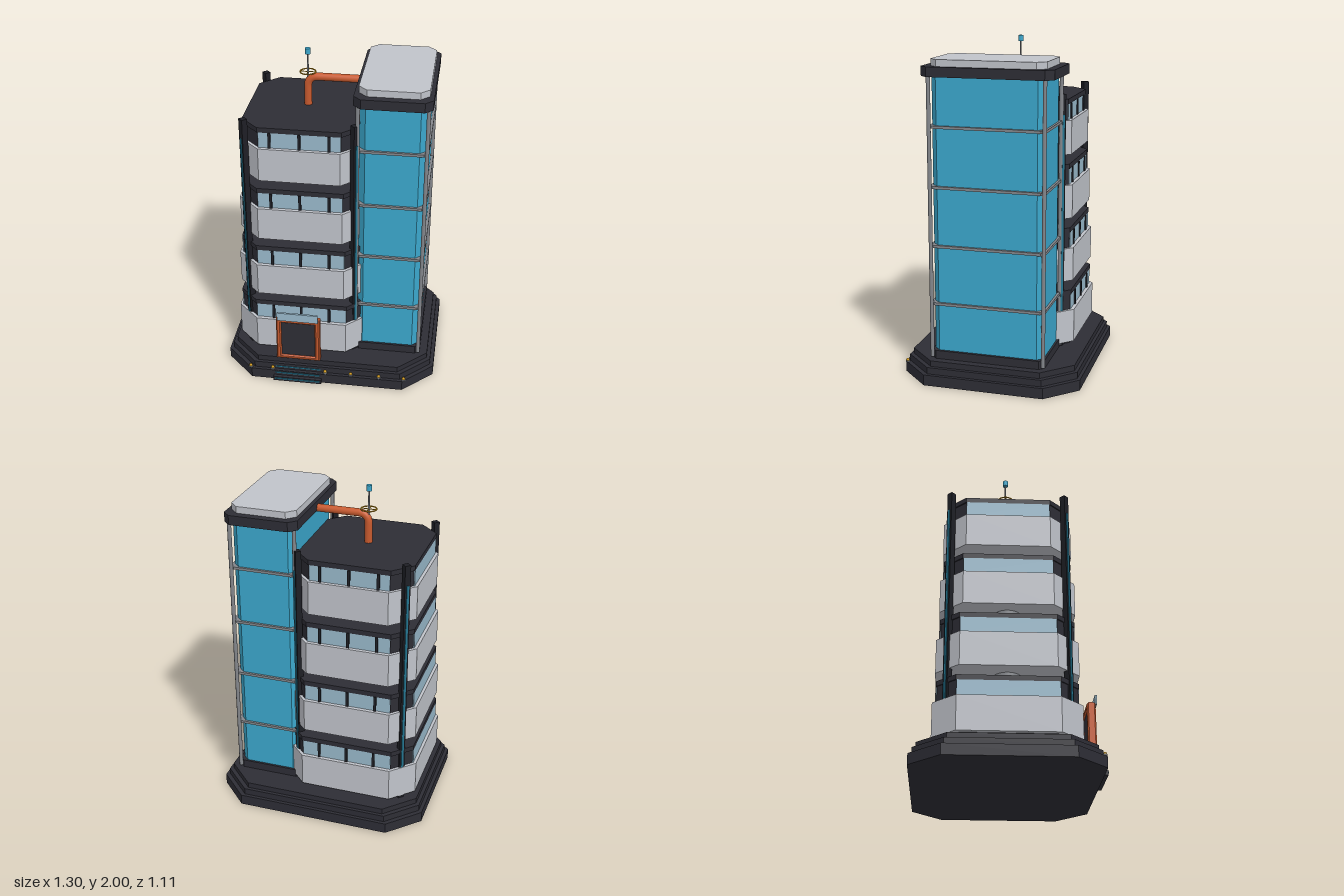
import * as THREE from 'three';

const mat = (name, color, extra = {}) => {
  const m = new THREE.MeshStandardMaterial({ color, ...extra });
  m.name = name;
  return m;
};

export function createModel() {
  const dark = mat('charcoal', 0x2d2d35);
  const black = mat('black trim', 0x1e1f25);
  const pale = mat('pale concrete', 0xc0c3ca);
  const glass = mat('tower glass', 0x3ba7cc);
  const window_ = mat('window glass', 0x98b8ca);
  const orange = mat('orange', 0xc85a2e);
  const steel = mat('steel', 0x84878c);
  const gold = mat('gold', 0xc9930f);
  const teal = mat('teal strip', 0x23748f);

  const model = new THREE.Group();
  model.name = 'officeBuilding';
  const CZ = -0.015; // shared depth centre of the building

  const add = (name, geo, material, x = 0, y = 0, z = 0, parent = model) => {
    const m = new THREE.Mesh(geo, material);
    m.name = name;
    m.position.set(x, y, z);
    parent.add(m);
    return m;
  };
  const box = (name, material, x, y, z, w, h, d, parent) =>
    add(name, new THREE.BoxGeometry(w, h, d), material, x, y, z, parent);
  const rod = (name, material, x, y0, y1, z, r0, r1 = r0, n = 16, parent) =>
    add(name, new THREE.CylinderGeometry(r1, r0, y1 - y0, n), material, x, (y0 + y1) / 2, z, parent);

  // Prism with an oblong plan and cut corners, from y0 to y1
  const prism = (name, material, x, y0, y1, hx, hz, c, parent) => {
    const s = new THREE.Shape([
      [hx, -hz + c], [hx, hz - c], [hx - c, hz], [-hx + c, hz],
      [-hx, hz - c], [-hx, -hz + c], [-hx + c, -hz], [hx - c, -hz],
    ].map(([a, b]) => new THREE.Vector2(a, b)));
    const g = new THREE.ExtrudeGeometry(s, { depth: y1 - y0, bevelEnabled: false });
    g.rotateX(-Math.PI / 2);
    return add(name, g, material, x, y0, CZ, parent);
  };

  // Stepped plinth
  prism('plinthLower', dark, 0, 0, 0.065, 0.65, 0.542, 0.18);
  prism('plinthMiddle', dark, 0, 0.065, 0.105, 0.628, 0.522, 0.175);
  prism('plinthUpper', dark, 0, 0.105, 0.14, 0.606, 0.502, 0.17);

  // Four floors, each a little smaller than the one below
  const BX = -0.175;
  for (let i = 0; i < 4; i++) {
    const floor = new THREE.Group();
    floor.name = 'floor' + (i + 1);
    model.add(floor);
    const y = 0.16 + i * 0.387;
    const hx = 0.41 - i * 0.0133, hz = 0.42 - i * 0.013, c = 0.133;
    prism('parapet', pale, BX, y, y + 0.205, hx, hz, c, floor);
    prism('floorBody', dark, BX, y + 0.205, y + 0.3, hx - 0.022, hz - 0.026, 0.11, floor);
    prism('floorRoof', dark, BX, y + 0.3, y + 0.33, hx - 0.018, hz - 0.02, 0.11, floor);
    const wy = y + 0.2525, w = 2 * (hx - c), d = 2 * (hz - c);
    for (const s of [-1, 1]) {
      const z = CZ + s * (hz - 0.025);
      box('windowBand', window_, BX, wy, z, w, 0.095, 0.006, floor);
      for (const k of [-1, 0, 1])
        box('mullion', black, BX + k * 0.172, wy, z + s * 0.005, 0.016, 0.095, 0.012, floor);
      box('sideWindowBand', window_, BX + s * (hx - 0.021), wy, CZ, 0.006, 0.095, d, floor);
    }
  }
  prism('groundFloorFooting', dark, BX, 0.14, 0.16, 0.38, 0.39, 0.12);

  // Corner columns turned to 45 degrees, with a coloured outer strip
  for (const sx of [-1, 1]) for (const sz of [-1, 1]) {
    const column = new THREE.Group();
    column.name = 'cornerColumn';
    column.position.set(-0.18 + sx * 0.32, 0, CZ + sz * 0.338);
    column.rotation.y = Math.atan2(sx, sz);
    model.add(column);
    box('columnShaft', black, 0, 0.915, 0, 0.036, 1.55, 0.036, column);
    box('columnStrip', teal, 0, 0.87, 0.02, 0.014, 1.4, 0.006, column);
  }

  // Service core and bridge between the floors
  rod('serviceCore', steel, -0.395, 0.14, 0.96, CZ, 0.08, 0.08, 24);
  box('bridgeDeck', steel, 0.075, 1.28, CZ, 0.21, 0.02, 0.2);
  box('bridgeGlass', glass, 0.08, 1.305, CZ, 0.2, 0.03, 0.17);

  // Glass tower
  const TX = 0.352;
  prism('towerBase', dark, TX, 0.14, 0.19, 0.207, 0.345, 0.03);
  prism('towerGlass', glass, TX, 0.19, 1.815, 0.19, 0.332, 0.035);
  prism('towerCrown', dark, TX, 1.815, 1.872, 0.222, 0.388, 0.045);
  prism('towerRoof', pale, TX, 1.872, 1.912, 0.198, 0.34, 0.05);
  for (const y of [0.48, 0.83, 1.18, 1.53])
    prism('towerRail', steel, TX, y - 0.008, y + 0.008, 0.206, 0.346, 0.025);
  for (const sx of [-1, 1]) for (const sz of [-1, 1])
    rod('towerPost', steel, TX + sx * 0.197, 0.15, 1.815, CZ + sz * 0.339, 0.012, 0.012, 10);

  // Roof pipe bending into the tower
  const pipe = new THREE.CurvePath();
  const v = (x, y) => new THREE.Vector3(x, y, CZ);
  pipe.add(new THREE.LineCurve3(v(-0.18, 1.645), v(-0.18, 1.765)));
  pipe.add(new THREE.QuadraticBezierCurve3(v(-0.18, 1.765), v(-0.18, 1.827), v(-0.118, 1.827)));
  pipe.add(new THREE.LineCurve3(v(-0.118, 1.827), v(0.16, 1.827)));
  add('roofPipe', new THREE.TubeGeometry(pipe, 48, 0.023, 16), orange);

  // Antenna with ring and beacon
  rod('antennaMast', steel, -0.18, 1.65, 1.97, CZ, 0.011, 0.004, 10);
  rod('antennaBeacon', glass, -0.18, 1.965, 2, CZ, 0.016, 0.016, 16);
  const ring = add('antennaRing', new THREE.TorusGeometry(0.046, 0.004, 8, 32), gold, -0.18, 1.855, CZ);
  ring.rotation.x = Math.PI / 2;
  for (const a of [0, Math.PI / 2]) {
    const spoke = box('ringSpoke', gold, -0.18, 1.855, CZ, 0.09, 0.004, 0.004);
    spoke.rotation.y = a;
  }

  // Entrance: frame with an opening, door and glass sign panel
  const DX = -0.18;
  const frame = new THREE.Shape([[-0.127, 0], [0.127, 0], [0.127, 0.285], [-0.127, 0.285]]
    .map(([a, b]) => new THREE.Vector2(a, b)));
  frame.holes.push(new THREE.Path([[-0.112, 0.012], [-0.112, 0.27], [0.112, 0.27], [0.112, 0.012]]
    .map(([a, b]) => new THREE.Vector2(a, b))));
  const frameGeo = new THREE.ExtrudeGeometry(frame, {
    depth: 0.034, bevelEnabled: true, bevelThickness: 0.008, bevelSize: 0.008, bevelSegments: 1,
  });
  add('doorFrame', frameGeo, orange, DX, 0.146, 0.453);
  box('door', dark, DX, 0.287, 0.47, 0.23, 0.265, 0.03);
  box('entrancePanel', window_, DX, 0.461, 0.499, 0.25, 0.055, 0.012);

  // Entrance steps with lit edges
  [[0.078, 0.505], [0.048, 0.528], [0.018, 0.549]].forEach(([y, z]) => {
    box('step', dark, DX, y, z - 0.03, 0.3, 0.028, 0.06);
    box('stepStrip', teal, DX, y + 0.005, z + 0.002, 0.28, 0.007, 0.006);
  });

  // Small lamps along the front ledge
  for (const x of [-0.48, -0.34, -0.01, 0.15, 0.325, 0.478]) {
    rod('lampBase', steel, x, 0.065, 0.074, 0.512, 0.013, 0.013, 12);
    add('lamp', new THREE.SphereGeometry(0.01, 12, 8), gold, x, 0.077, 0.512);
  }
  return model;
}
